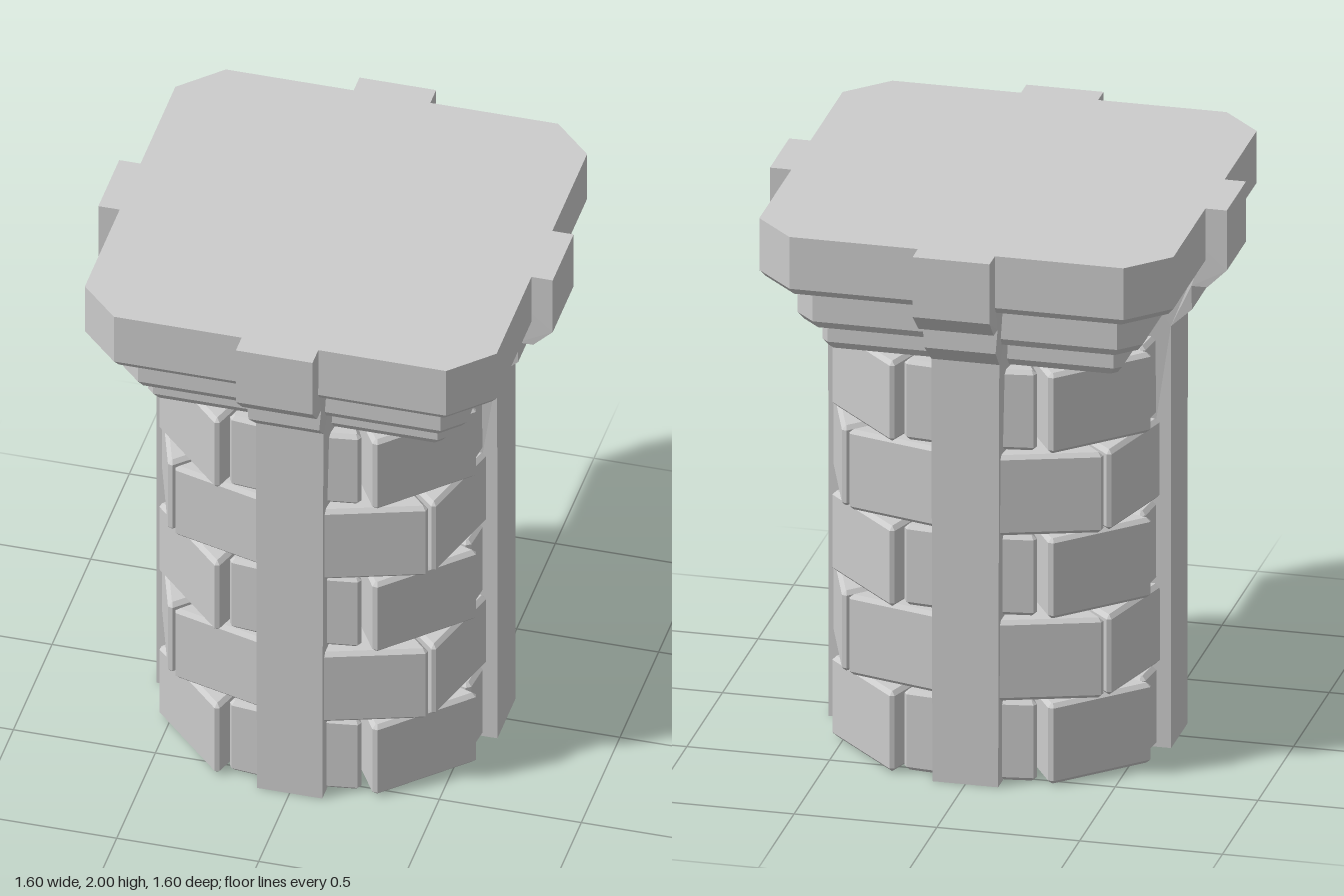
import * as THREE from 'three';

const material = new THREE.MeshStandardMaterial({ color: 0xcccccc, flatShading: true });
const BEVEL = 0.014;

function addMesh(parent, name, geometry) {
  const mesh = new THREE.Mesh(geometry, material);
  mesh.name = name;
  parent.add(mesh);
}

// Cuts each corner of a plan outline by a small distance.
function clipCorners(points, d) {
  const v = points.map(([x, z]) => new THREE.Vector2(x, -z));
  const n = v.length;
  return v.flatMap((p, i) => [v[(i + n - 1) % n], v[(i + 1) % n]].map((q) =>
    p.clone().add(q.clone().sub(p).setLength(d))));
}

// Bevelled stone block from an [x, z] plan outline.
function brick(plan, y, height) {
  const geometry = new THREE.ExtrudeGeometry(new THREE.Shape(clipCorners(plan, 0.016)), {
    depth: height - 2 * BEVEL, bevelEnabled: true, bevelSegments: 1,
    bevelSize: BEVEL, bevelThickness: BEVEL, bevelOffset: -BEVEL,
  });
  return geometry.rotateX(-Math.PI / 2).translate(0, y + BEVEL, 0);
}

// Square slab with cut corners, lofted through [half width, corner cut, y] levels.
function slab(levels) {
  const position = [];
  const rings = levels.map(([h, c, y]) => [
    [h, h - c], [h - c, h], [c - h, h], [-h, h - c],
    [-h, c - h], [c - h, -h], [h - c, -h], [h, c - h],
  ].map(([x, z]) => [x, y, z]));
  const tri = (a, b, c) => position.push(...a, ...b, ...c);
  for (let i = 0; i < 8; i++) {
    const j = (i + 1) % 8;
    for (let k = 0; k + 1 < rings.length; k++) {
      const lo = rings[k], hi = rings[k + 1];
      tri(lo[i], hi[i], lo[j]);
      tri(lo[j], hi[i], hi[j]);
    }
    const top = levels.length - 1;
    tri([0, levels[0][2], 0], rings[0][i], rings[0][j]);
    tri([0, levels[top][2], 0], rings[top][j], rings[top][i]);
  }
  const geometry = new THREE.BufferGeometry();
  geometry.setAttribute('position', new THREE.Float32BufferAttribute(position, 3));
  geometry.computeVertexNormals();
  return geometry;
}

// Upright rib with a stepped bracket at the top, widening slightly upwards.
function rib() {
  const profile = [
    [0.37, 0], [0.6, 0], [0.6, 1.55], [0.675, 1.62], [0.675, 1.71], [0.73, 1.71],
    [0.8, 1.78], [0.8, 2], [0.72, 2], [0.72, 1.85], [0.5, 1.75], [0.37, 1.53],
  ].map(([x, y]) => new THREE.Vector2(x, y));
  const geometry = new THREE.ExtrudeGeometry(new THREE.Shape(profile), { depth: 2, bevelEnabled: false });
  geometry.translate(0, 0, -1);
  const p = geometry.attributes.position;
  for (let i = 0; i < p.count; i++) {
    const t = THREE.MathUtils.clamp((p.getY(i) - 1.5) / 0.25, 0, 1);
    p.setZ(i, p.getZ(i) * (0.115 + 0.02 * t));
  }
  geometry.computeVertexNormals();
  return geometry;
}

// Plan outlines of the bricks between two ribs, for the two alternating courses.
const courses = [
  {
    cornerBrick: [[0.578, 0.262], [0.283, 0.553], [0.165, 0.36], [0.36, 0.19]],
    frontFillerBrick: [[0.1, 0.55], [0.237, 0.53], [0.155, 0.36], [0.1, 0.37]],
    sideFillerBrick: [[0.55, 0.1], [0.535, 0.237], [0.36, 0.18], [0.37, 0.1]],
  },
  {
    frontLongBrick: [[0.1, 0.587], [0.458, 0.466], [0.3, 0.303], [0.1, 0.37]],
    sideLongBrick: [[0.565, 0.1], [0.467, 0.452], [0.305, 0.293], [0.37, 0.1]],
  },
];

export function createModel() {
  const model = new THREE.Group();
  model.name = 'pillar';

  // Stepped cap
  addMesh(model, 'capTopSlab', slab([[0.705, 0.132, 1.785], [0.725, 0.14, 1.81], [0.725, 0.14, 2]]));
  addMesh(model, 'capMiddleSlab', slab([[0.585, 0.066, 1.62], [0.605, 0.072, 1.648], [0.605, 0.072, 1.79]]));
  addMesh(model, 'capLowerSlab', slab([[0.505, 0.02, 1.517], [0.525, 0.024, 1.545], [0.525, 0.024, 1.63]]));

  // Four identical quarters of the hollow shaft
  for (let k = 0; k < 4; k++) {
    const quarter = new THREE.Group();
    quarter.name = 'shaftQuarter' + (k + 1);
    quarter.rotation.y = k * Math.PI / 2;
    addMesh(quarter, 'rib', rib());
    for (let row = 0; row < 5; row++) {
      for (const [name, plan] of Object.entries(courses[row % 2])) {
        addMesh(quarter, name, brick(plan, 0.003 + row * 0.303, 0.294));
      }
    }
    model.add(quarter);
  }
  return model;
}
